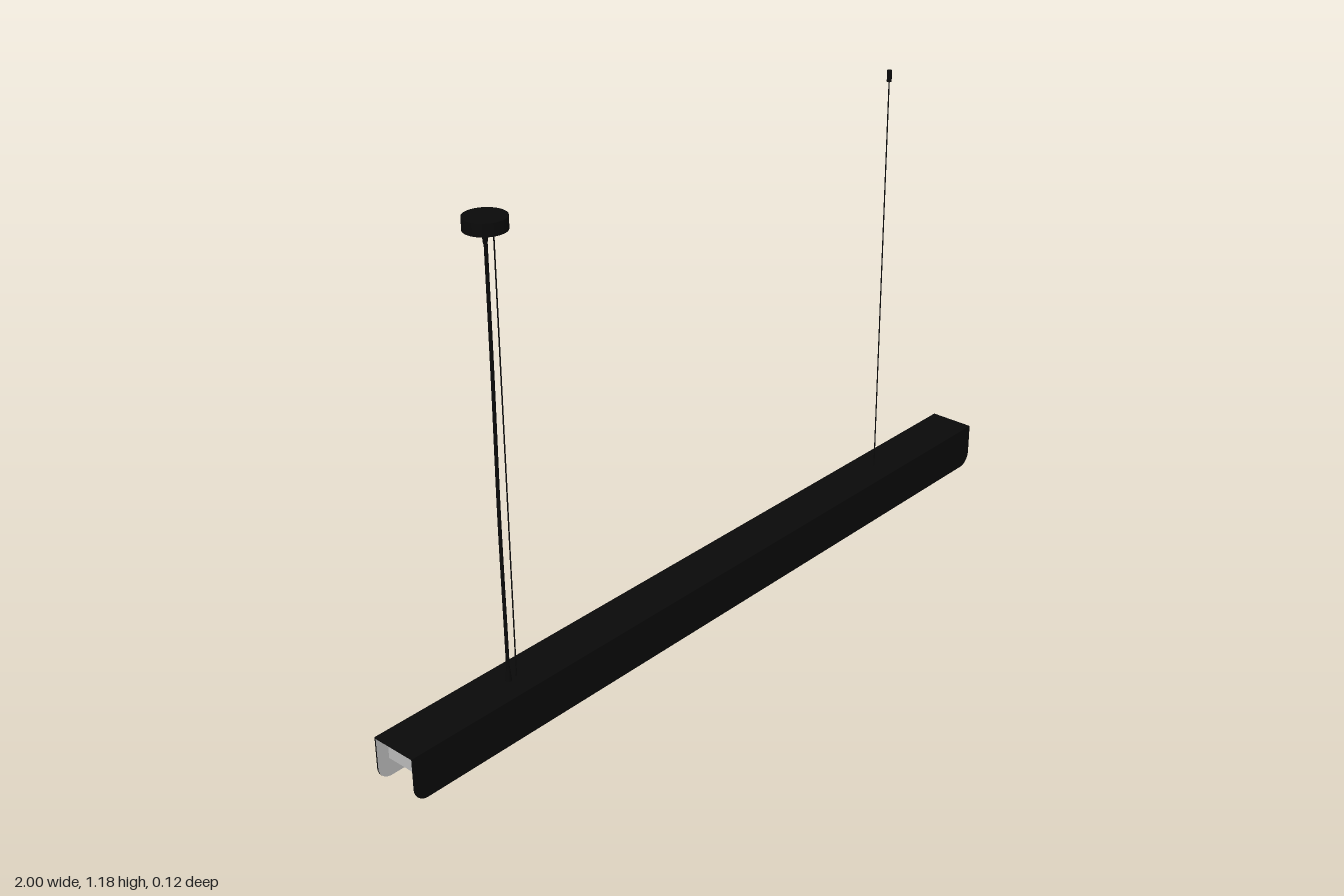
import * as THREE from 'three';

const H = 0.112, HALF_W = 0.0585, T = 0.003, TOP = 1.178;

function material(name, color) {
  const m = new THREE.MeshStandardMaterial({ color });
  m.name = name;
  return m;
}

// Long side profile with rounded lower corners
function sideShape() {
  const r = 0.035, s = new THREE.Shape();
  s.moveTo(-1, H);
  s.lineTo(-1, r);
  s.absarc(-1 + r, r, r, Math.PI, Math.PI * 1.5, false);
  s.lineTo(1 - r, 0);
  s.absarc(1 - r, r, r, -Math.PI / 2, 0, false);
  s.lineTo(1, H);
  s.closePath();
  return s;
}

export function createModel() {
  const model = new THREE.Group();
  model.name = 'linearPendantLamp';
  const black = material('matteBlack', 0x0a0a0a);
  const grey = material('innerGrey', 0xc0c0c0);

  const add = (name, geometry, mat, x = 0, y = 0, z = 0) => {
    const mesh = new THREE.Mesh(geometry, mat);
    mesh.name = name;
    mesh.position.set(x, y, z);
    model.add(mesh);
    return mesh;
  };
  const rod = (name, r1, r2, y0, y1, x, z = 0, n = 16) =>
    add(name, new THREE.CylinderGeometry(r1, r2, y1 - y0, n), black, x, (y0 + y1) / 2, z);

  // Channel: top plate, side walls and grey inner linings
  add('topPlate', new THREE.BoxGeometry(2, T, HALF_W * 2), black, 0, H - T / 2, 0);
  const ceiling = add('innerCeiling', new THREE.PlaneGeometry(2, (HALF_W - T) * 2), grey, 0, H - T - 0.0005, 0);
  ceiling.rotation.x = Math.PI / 2;
  const wall = new THREE.ExtrudeGeometry(sideShape(), { depth: T, bevelEnabled: false, curveSegments: 10 });
  const lining = new THREE.ShapeGeometry(sideShape(), 10);
  add('frontWall', wall, black, 0, 0, HALF_W - T);
  add('backWall', wall, black, 0, 0, -HALF_W);
  add('backLining', lining, grey, 0, 0, -HALF_W + T + 0.0005);
  const frontLining = add('frontLining', lining, grey, 0, 0, HALF_W - T - 0.0005);
  frontLining.rotation.y = Math.PI;

  // Recessed blocks inside both ends
  for (const s of [-1, 1]) {
    add('endBlock', new THREE.BoxGeometry(0.12, 0.063, (HALF_W - T) * 2 - 0.002), grey, s * 0.91, 0.0765, 0);
  }

  // Suspension wires and the small ceiling fixing
  rod('wire', 0.0015, 0.0015, H, 1.155, -0.652, 0, 8);
  rod('wire', 0.0015, 0.0015, H, 1.155, 0.642, 0, 8);
  rod('ceilingFixing', 0.006, 0.006, 1.15, TOP, 0.642);

  // Round ceiling canopy with screws below
  rod('canopy', 0.0465, 0.0465, 1.15, TOP, -0.673, 0, 48);
  for (const z of [-0.03, 0.03]) rod('canopyScrew', 0.004, 0.004, 1.147, 1.151, -0.673, z, 12);

  // Slightly slack power cord with strain reliefs
  const cord = new THREE.CatmullRomCurve3([
    [-0.675, H, 0], [-0.674, 0.25, -0.002], [-0.671, 0.5, -0.007],
    [-0.674, 0.8, -0.001], [-0.676, 1.0, 0.002], [-0.675, 1.152, 0.001],
  ].map(p => new THREE.Vector3(...p)));
  add('powerCord', new THREE.TubeGeometry(cord, 48, 0.004, 10), black);
  rod('lowerStrainRelief', 0.0045, 0.0075, H, 0.142, -0.675);
  rod('upperStrainRelief', 0.0075, 0.0045, 1.12, 1.151, -0.675);

  return model;
}
